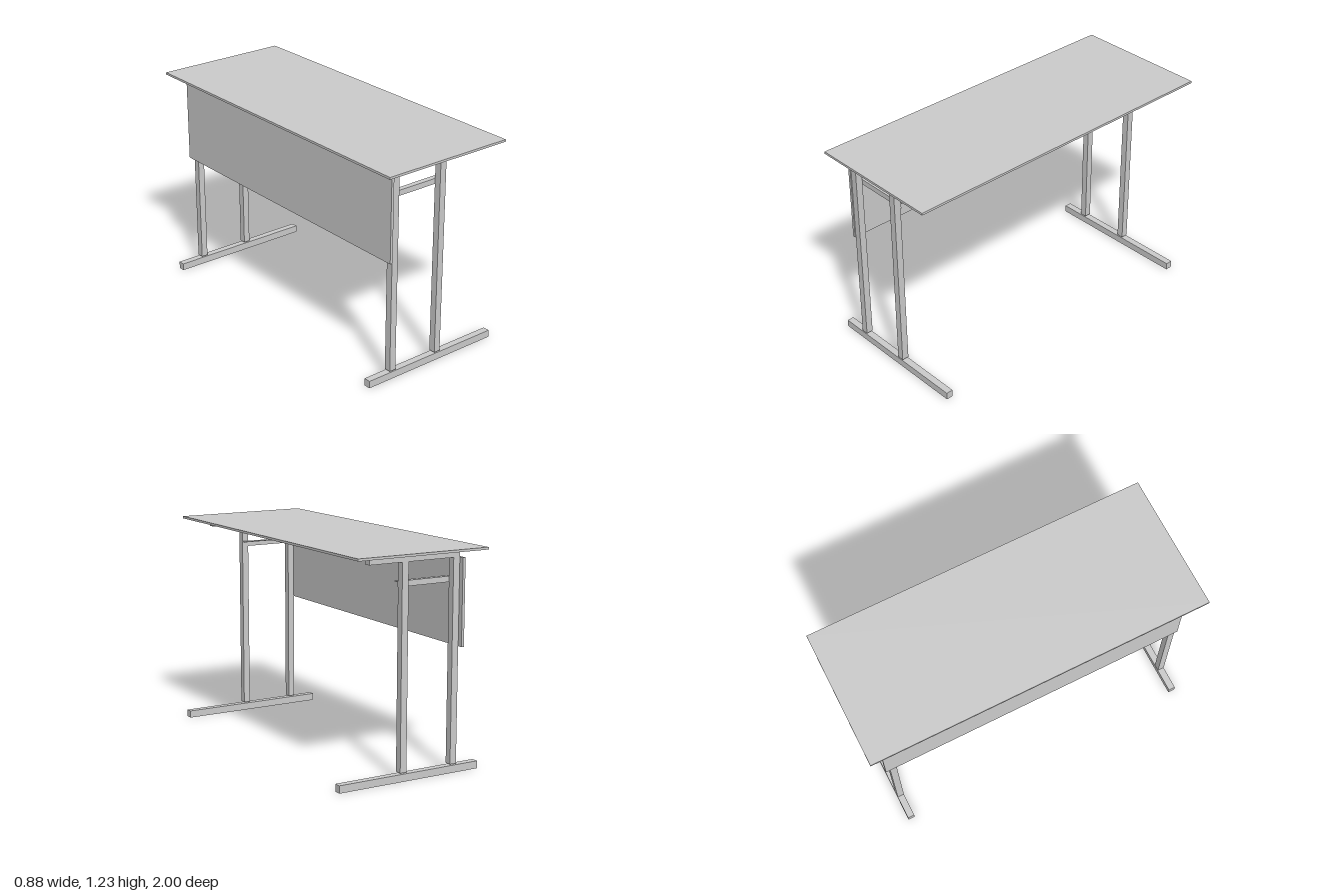
import * as THREE from 'three';

const material = new THREE.MeshStandardMaterial({ color: 0xcccccc, flatShading: true });

// Box given by its extents along each axis
function addBox(parent, name, [x0, x1], [y0, y1], [z0, z1]) {
  const mesh = new THREE.Mesh(new THREE.BoxGeometry(x1 - x0, y1 - y0, z1 - z0), material);
  mesh.position.set((x0 + x1) / 2, (y0 + y1) / 2, (z0 + z1) / 2);
  mesh.name = name;
  parent.add(mesh);
}

// One end frame; z = 0 is its middle, +z is the outer side
function createEndFrame(name) {
  const frame = new THREE.Group();
  frame.name = name;
  const tube = [-0.02, 0.02];
  addBox(frame, 'foot', [-0.438, 0.438], [0, 0.042], tube);
  addBox(frame, 'backLeg', [-0.297, -0.258], [0.049, 1.172], tube);
  addBox(frame, 'frontLeg', [0.024, 0.063], [0.049, 1.172], tube);
  addBox(frame, 'topRail', [-0.297, 0.264], [1.172, 1.212], tube);

  // L-section brace on the inner faces of the legs
  const t = 0.004;
  const profile = new THREE.Shape([[0, 0], [t, 0], [t, 0.031 - t], [0.031, 0.031 - t], [0.031, 0.031], [0, 0.031]]
    .map(([x, y]) => new THREE.Vector2(x, y)));
  const brace = new THREE.Mesh(
    new THREE.ExtrudeGeometry(profile, { depth: 0.361, bevelEnabled: false }), material);
  brace.rotation.y = Math.PI / 2;
  brace.position.set(-0.297, 1.037, -0.02);
  brace.name = 'angleBrace';
  frame.add(brace);
  return frame;
}

export function createModel() {
  const desk = new THREE.Group();
  desk.name = 'desk';
  addBox(desk, 'deskTop', [-0.4, 0.4], [1.217, 1.23], [-1, 1]);
  addBox(desk, 'modestyPanel', [-0.314, -0.298], [0.694, 1.172], [-0.917, 0.917]);

  const leftFrame = createEndFrame('frontEndFrame');
  leftFrame.position.z = 0.892;
  // Opposite end, mirrored so its brace also faces inwards
  const rightFrame = createEndFrame('rearEndFrame');
  rightFrame.scale.z = -1;
  rightFrame.position.z = -0.869;
  desk.add(leftFrame, rightFrame);
  return desk;
}
